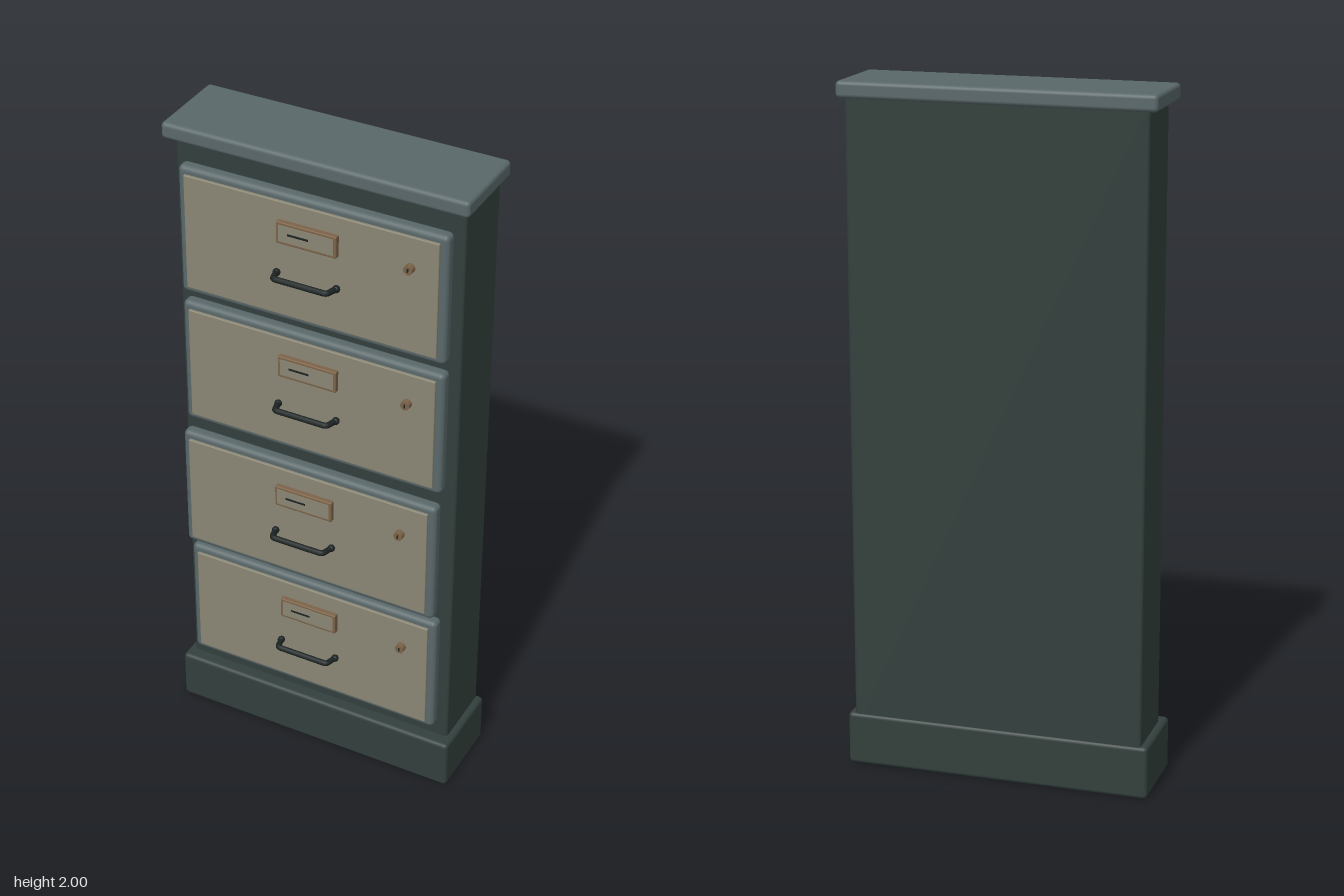
import * as THREE from 'three';
import { RoundedBoxGeometry } from 'three/addons/geometries/RoundedBoxGeometry.js';

const material = (name, color) => {
  const m = new THREE.MeshStandardMaterial({ color });
  m.name = name;
  return m;
};

export function createModel() {
  const body = material('dark green grey', 0x33403d);
  const trim = material('slate', 0x5a686a);
  const face = material('warm stone', 0x8a8674);
  const brass = material('dull brass', 0x7c6349);
  const black = material('near black', 0x1c2423);

  const add = (parent, name, geometry, mat, x = 0, y = 0, z = 0) => {
    const mesh = new THREE.Mesh(geometry, mat);
    mesh.name = name;
    mesh.position.set(x, y, z);
    parent.add(mesh);
    return mesh;
  };
  const rounded = (w, h, d, r) => new RoundedBoxGeometry(w, h, d, 3, r);

  const model = new THREE.Group();
  model.name = 'filingCabinet';

  // Carcass, plinth and top
  add(model, 'carcass', rounded(0.86, 1.86, 0.21, 0.01), body, 0, 1.04, -0.065);
  add(model, 'plinth', rounded(0.9, 0.157, 0.255, 0.012), body, 0, 0.0785, -0.0475);
  add(model, 'top', rounded(0.906, 0.048, 0.257, 0.012), trim, 0, 1.976, -0.0515);

  // Shared drawer geometry, measured from the carcass front
  const frameGeo = rounded(0.804, 0.395, 0.042, 0.015);
  const panelGeo = rounded(0.76, 0.352, 0.02, 0.003);
  const holderGeo = rounded(0.18, 0.066, 0.018, 0.003);
  const cardGeo = new THREE.BoxGeometry(0.164, 0.05, 0.003);
  const lineGeo = new THREE.BoxGeometry(0.062, 0.006, 0.002);
  const lockGeo = new THREE.CylinderGeometry(0.0135, 0.0135, 0.024, 20).rotateX(Math.PI / 2);
  const keyGeo = new THREE.BoxGeometry(0.004, 0.012, 0.002);
  const footGeo = new THREE.SphereGeometry(0.011, 14, 10);

  // Bent handle: two splayed arms and a straight grip
  const handlePath = new THREE.CurvePath();
  const points = [[-0.09, 0, 0.063], [-0.081, 0.003, 0.102], [0.081, 0.003, 0.102], [0.09, 0, 0.063]]
    .map((p) => new THREE.Vector3(...p));
  const bendStart = points[1].clone().lerp(points[0], 0.25);
  const bendEnd = points[2].clone().lerp(points[3], 0.25);
  const gripStart = points[1].clone().setX(-0.071);
  const gripEnd = points[2].clone().setX(0.071);
  handlePath.add(new THREE.LineCurve3(points[0], bendStart));
  handlePath.add(new THREE.QuadraticBezierCurve3(bendStart, points[1], gripStart));
  handlePath.add(new THREE.LineCurve3(gripStart, gripEnd));
  handlePath.add(new THREE.QuadraticBezierCurve3(gripEnd, points[2], bendEnd));
  handlePath.add(new THREE.LineCurve3(bendEnd, points[3]));
  const handleGeo = new THREE.TubeGeometry(handlePath, 60, 0.0085, 10, false);

  // Four drawers, the third from the top pulled out slightly
  [[1.69, 0], [1.264, 0], [0.838, 0.025], [0.41, 0]].forEach(([y, pull], i) => {
    const drawer = new THREE.Group();
    drawer.name = 'drawer' + (i + 1);
    drawer.position.set(0, y, 0.04 + pull);
    add(drawer, 'drawerFrame', frameGeo, trim, 0, 0, 0.021);
    add(drawer, 'drawerPanel', panelGeo, face, 0, 0, 0.04);
    add(drawer, 'labelHolder', holderGeo, brass, 0, 0.09, 0.056);
    add(drawer, 'labelCard', cardGeo, face, 0, 0.09, 0.0648);
    add(drawer, 'labelLine', lineGeo, black, -0.024, 0.091, 0.0663);
    add(drawer, 'lock', lockGeo, brass, 0.3, 0.085, 0.056);
    add(drawer, 'keyhole', keyGeo, black, 0.3, 0.085, 0.0682);
    add(drawer, 'handle', handleGeo, black, 0, -0.035, 0);
    for (const side of [-1, 1]) {
      add(drawer, 'handleFoot', footGeo, black, side * 0.09, -0.035, 0.064);
    }
    model.add(drawer);
  });

  return model;
}
